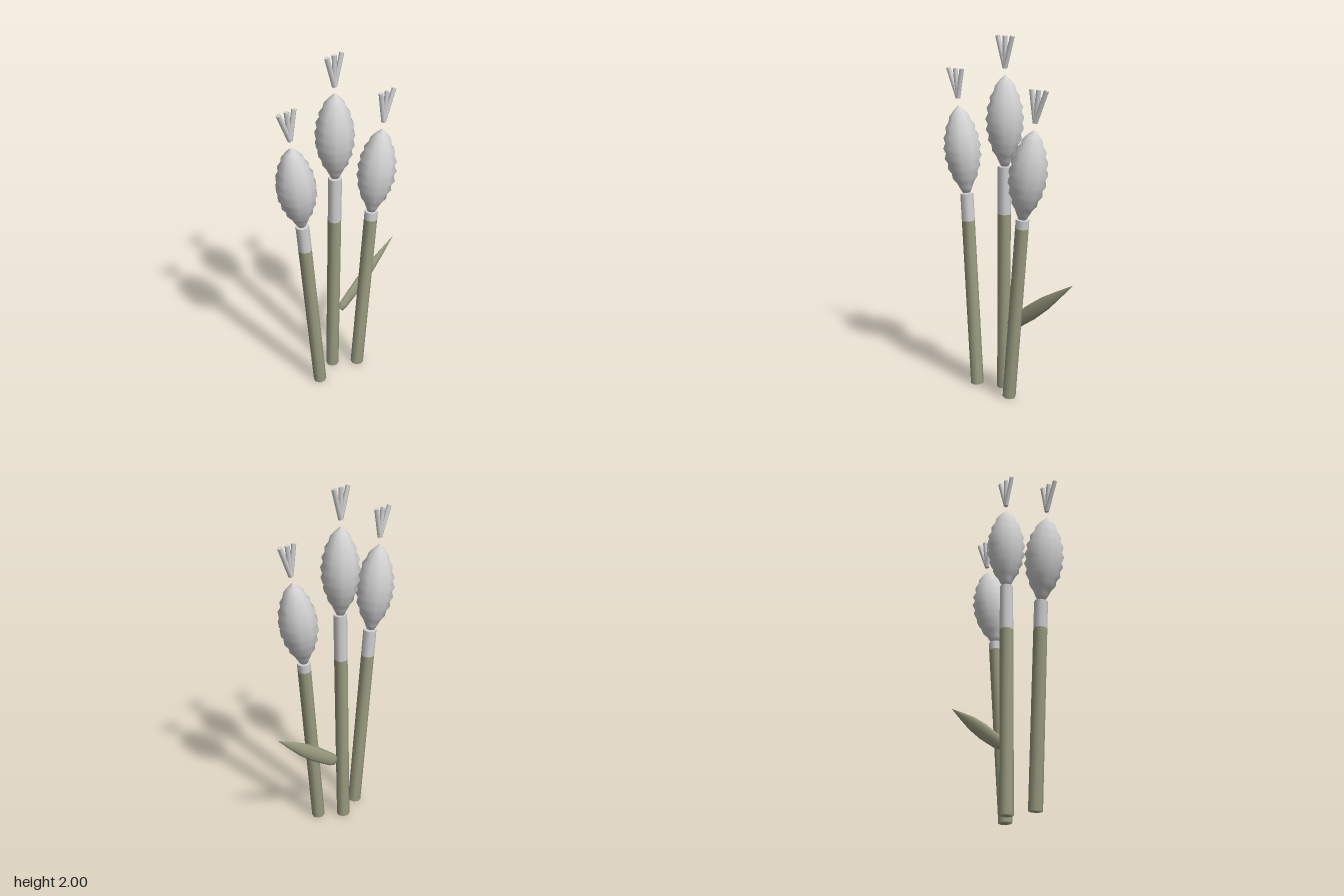
import * as THREE from 'three';
import { mergeVertices } from 'three/addons/utils/BufferGeometryUtils.js';

const V = (a) => new THREE.Vector3(...a);
const UP = new THREE.Vector3(0, 1, 0);

// Share normals across the rims for soft ends
function soften(geo) {
  geo.deleteAttribute('normal');
  geo.deleteAttribute('uv');
  const merged = mergeVertices(geo, 1e-4);
  merged.computeVertexNormals();
  return merged;
}

// Mesh whose local y axis starts at a and points to b
function along(name, geo, mat, a, b) {
  const mesh = new THREE.Mesh(geo, mat);
  mesh.name = name;
  mesh.position.copy(a);
  mesh.quaternion.setFromUnitVectors(UP, b.clone().sub(a).normalize());
  return mesh;
}

// Round rod from a to b
function rod(name, mat, a, b, r, sides, soft) {
  const len = a.distanceTo(b);
  let geo = new THREE.CylinderGeometry(r, r, len, sides);
  geo.translate(0, len / 2, 0);
  if (soft) geo = soften(geo);
  return along(name, geo, mat, a, b);
}

// Ridged flower head, pointed at the top
function headGeometry(len) {
  const pts = [new THREE.Vector2(0, 0), new THREE.Vector2(0.022, 0)];
  const n = 17;
  for (let i = 1; i < n; i++) {
    const t = i / n;
    const ridge = i % 2 ? 1 : 0.88;
    pts.push(new THREE.Vector2(0.109 * Math.pow(Math.sin(Math.PI * t), 0.65) * ridge, t * len));
  }
  pts.push(new THREE.Vector2(0, len));
  return new THREE.LatheGeometry(pts, 10);
}

export function createModel() {
  const group = new THREE.Group();
  const green = new THREE.MeshStandardMaterial({ color: 0x9a9c80 });
  green.name = 'olive green';
  const pale = new THREE.MeshStandardMaterial({ color: 0xd2d2d2 });
  pale.name = 'pale grey';

  const plants = [
    { name: 'right', base: [-0.205, 0, 0], top: [-0.29, 1.115, -0.02], band: 0.96,
      head: [-0.293, 1.12, -0.022], tip: [-0.35, 1.607, -0.022],
      tuft: [-0.35, 1.647, -0.022], ends: [-0.418, -0.368, -0.32], endY: 1.81 },
    { name: 'middle', base: [-0.055, 0, -0.057], top: [-0.036, 1.297, -0.042], band: 1.03,
      head: [-0.035, 1.3, -0.044], tip: [-0.034, 1.792, -0.044],
      tuft: [-0.034, 1.828, -0.044], ends: [-0.084, -0.034, 0.016], endY: 1.997 },
    { name: 'left', base: [0.06, 0, 0.036], top: [0.155, 1.043, 0.042], band: 0.995,
      head: [0.153, 1.046, 0.042], tip: [0.226, 1.53, 0.042],
      tuft: [0.234, 1.567, 0.042], ends: [0.21, 0.255, 0.305], endY: 1.738 },
  ];

  for (const p of plants) {
    const plant = new THREE.Group();
    plant.name = p.name + 'Flower';

    // Stem with its pale upper band
    const base = V(p.base), top = V(p.top);
    const split = base.clone().lerp(top, p.band / p.top[1]);
    plant.add(rod('stem', green, base, split, 0.037, 8, true));
    plant.add(rod('stemBand', pale, split, top, 0.037, 8, false));

    // Flower head
    const head = V(p.head), tip = V(p.tip);
    plant.add(along('flowerHead', headGeometry(head.distanceTo(tip)), pale, head, tip));

    // Three bristles fanning out above the head
    const foot = V(p.tuft);
    for (const x of p.ends) {
      plant.add(rod('bristle', pale, foot, new THREE.Vector3(x, p.endY, foot.z), 0.013, 6, false));
    }
    group.add(plant);
  }

  // Flattened, pointed leaf
  const a = new THREE.Vector3(0.0, 0.385, -0.045);
  const b = new THREE.Vector3(0.427, 0.707, -0.045);
  const len = a.distanceTo(b);
  const profile = [[0, 0], [0.026, 0], [0.036, 0.06], [0.043, 0.35], [0.037, 0.58], [0.019, 0.8], [0, 1]];
  const leafGeo = new THREE.LatheGeometry(profile.map(([r, t]) => new THREE.Vector2(r, t * len)), 8);
  leafGeo.scale(1, 1, 0.45);
  group.add(along('leaf', leafGeo, green, a, b));

  return group;
}
